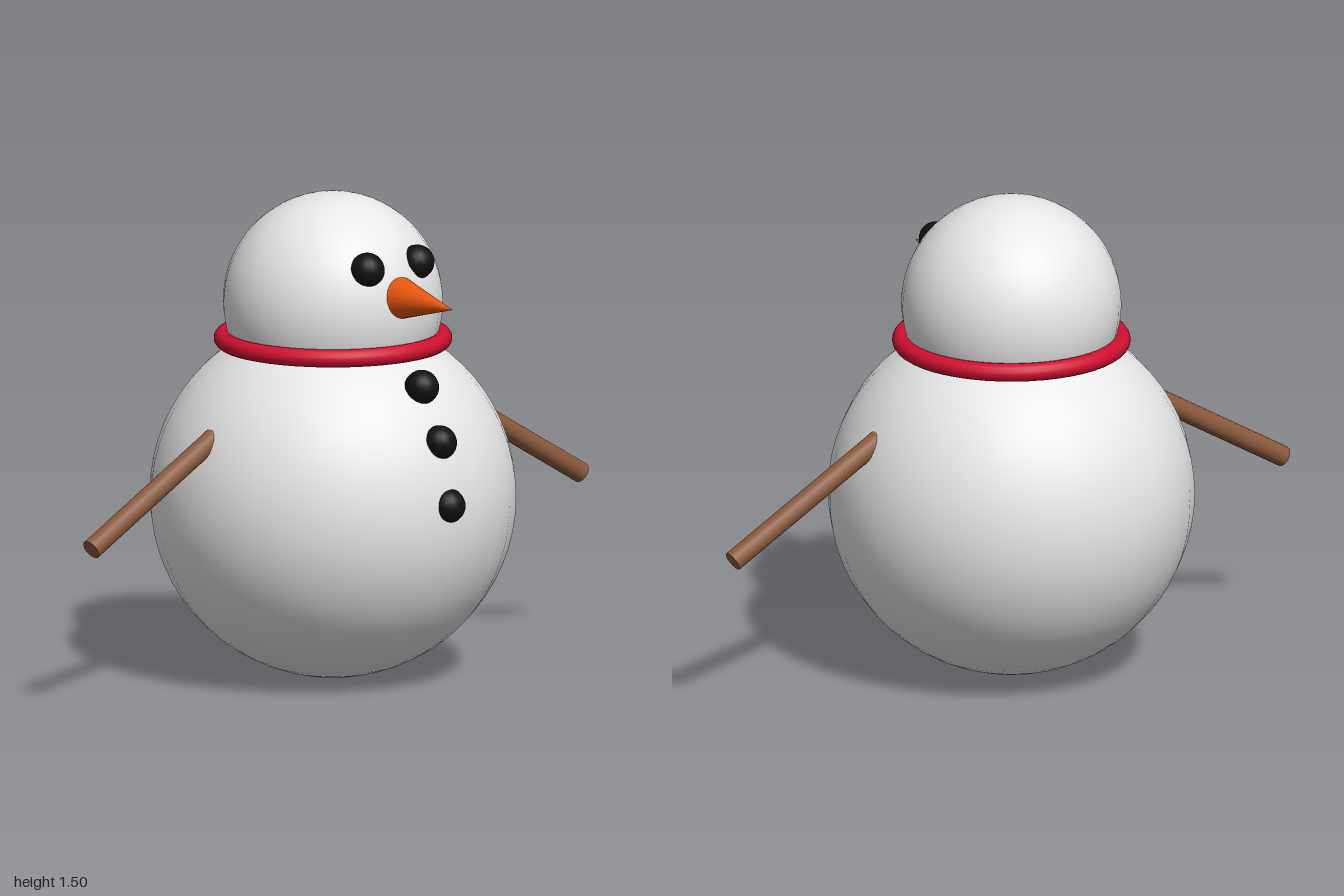
import * as THREE from 'three';

const paint = (name, color) => {
  const m = new THREE.MeshStandardMaterial({ color });
  m.name = name;
  return m;
};

export function createModel() {
  const model = new THREE.Group();
  model.name = 'snowman';
  const snow = paint('snow white', 0xfafafa);
  const coal = paint('coal black', 0x111111);
  const carrot = paint('carrot orange', 0xff6010);
  const wool = paint('scarf red', 0xd01030);
  const wood = paint('branch brown', 0x8b5a3c);

  const cx = -0.012, cz = -0.015; // shared axis of the snowballs

  const add = (name, geometry, material, x, y, z) => {
    const mesh = new THREE.Mesh(geometry, material);
    mesh.name = name;
    mesh.position.set(x, y, z);
    model.add(mesh);
    return mesh;
  };

  // Snowballs
  add('body', new THREE.SphereGeometry(0.56, 32, 32), snow, cx, 0.563, cz);
  add('head', new THREE.SphereGeometry(0.336, 32, 32), snow, cx, 1.165, cz);

  // Scarf ring around the neck
  const scarf = add('scarf', new THREE.TorusGeometry(0.336, 0.028, 16, 48), wool, cx, 1.05, cz);
  scarf.rotation.x = Math.PI / 2;

  // Carrot nose pointing forward
  const nose = add('nose', new THREE.ConeGeometry(0.074, 0.28, 24), carrot, cx, 1.218, 0.405);
  nose.rotation.x = Math.PI / 2;

  // Coal eyes and buttons
  const lump = new THREE.SphereGeometry(0.053, 16, 16);
  add('leftEye', lump, coal, cx + 0.1, 1.313, 0.262);
  add('rightEye', lump, coal, cx - 0.1, 1.313, 0.262);
  [[0.957, 0.4], [0.797, 0.484], [0.607, 0.524]].forEach(([y, z], i) =>
    add('button' + (i + 1), lump, coal, cx, y, z));

  // Stick arms, running from inside the body to the tip
  const stickArm = (name, from, to) => {
    const a = new THREE.Vector3(...from), b = new THREE.Vector3(...to);
    const dir = b.clone().sub(a);
    const mid = a.add(b).multiplyScalar(0.5);
    const arm = add(name, new THREE.CylinderGeometry(0.032, 0.032, dir.length(), 16), wood, mid.x, mid.y, mid.z);
    arm.quaternion.setFromUnitVectors(new THREE.Vector3(0, 1, 0), dir.normalize());
  };
  stickArm('leftArm', [0.42, 0.832, cz], [0.984, 0.504, cz]);
  stickArm('rightArm', [-0.42, 0.84, cz], [-0.984, 0.514, cz]);

  return model;
}
